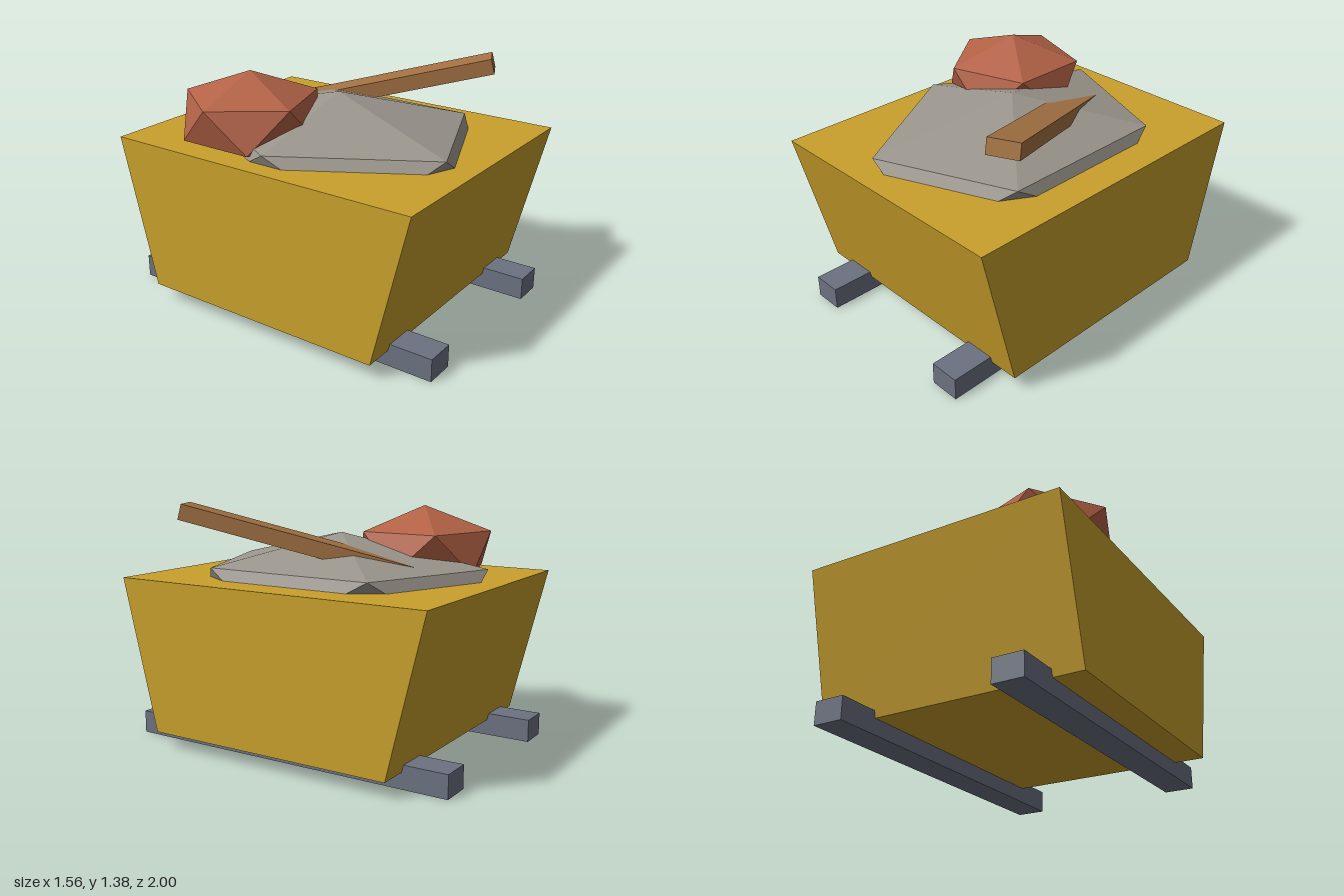
import * as THREE from 'three';

const material = (name, color) => {
  const m = new THREE.MeshStandardMaterial({ color, flatShading: true });
  m.name = name;
  return m;
};

export function createModel() {
  const yellow = material('yellow paint', 0xc9a02c);
  const steel = material('dark steel', 0x6b7280);
  const grey = material('grey rubble', 0x9a958c);
  const brick = material('brick red', 0xb36246);
  const wood = material('wood', 0xa47243);

  const model = new THREE.Group();
  model.name = 'rubbleSkip';
  const add = (name, geometry, mat, x, y, z) => {
    const mesh = new THREE.Mesh(geometry, mat);
    mesh.name = name;
    mesh.position.set(x, y, z);
    model.add(mesh);
    return mesh;
  };

  // Bin: a box whose front and back lean inwards towards the floor
  const bin = new THREE.BoxGeometry(1.56, 0.868, 1.914);
  const pos = bin.attributes.position;
  for (let i = 0; i < pos.count; i++) {
    if (pos.getY(i) < 0) pos.setZ(i, Math.sign(pos.getZ(i)) * 0.742);
  }
  bin.computeVertexNormals();
  add('bin', bin, yellow, 0, 0.524, 0);

  // Two skids running front to back
  for (const side of [-1, 1]) {
    add(side > 0 ? 'leftSkid' : 'rightSkid',
      new THREE.BoxGeometry(0.174, 0.13, 2), steel, side * 0.522, 0.065, 0);
  }

  // Rocks: squashed icosahedra standing on a corner
  const rock = (rx, ry, rz) => new THREE.IcosahedronGeometry(1, 0)
    .rotateZ(Math.atan(2 / (1 + Math.sqrt(5))))
    .scale(rx, ry, rz);
  add('rubbleHeap', rock(0.772, 0.326, 0.962), grey, 0, 0.874, 0);
  add('brickLump', rock(0.432, 0.253, 0.432), brick, -0.35, 1.092, -0.35);

  // Plank sticking out of the heap
  const plank = add('plank', new THREE.BoxGeometry(0.176, 0.088, 1.31), wood, 0.336, 1.171, 0.073);
  plank.rotation.set(-0.25, 0.437, 0, 'YXZ');

  return model;
}
